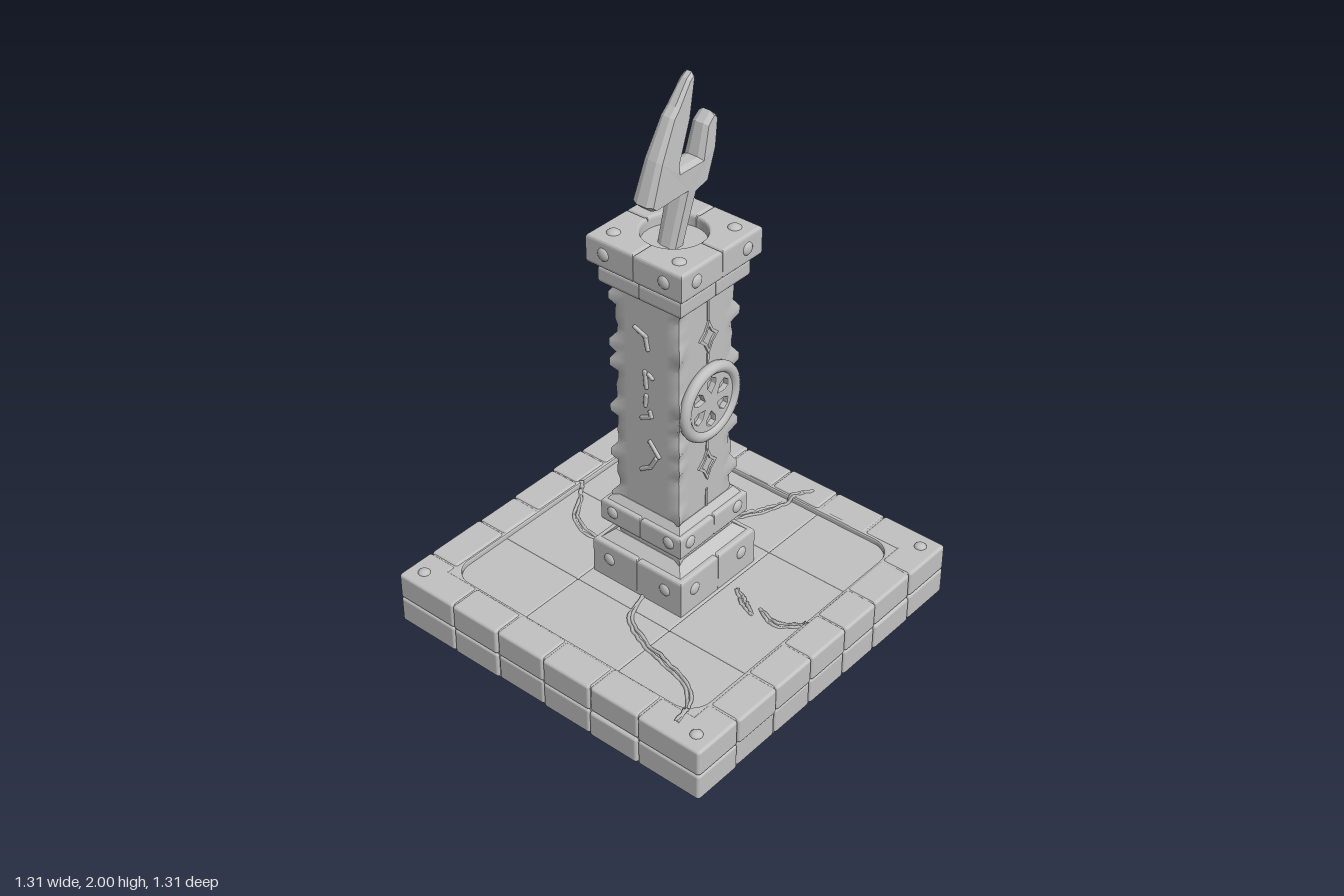
import * as THREE from 'three';
import { RoundedBoxGeometry } from 'three/addons/geometries/RoundedBoxGeometry.js';

export function createModel() {
  const group = new THREE.Group();
  const stone = new THREE.MeshStandardMaterial({ color: 0xc2c2c2 });
  stone.name = 'stone';

  let seed = 7;
  const rand = () => (seed = (seed * 16807) % 2147483647) / 2147483647;
  const jitter = (a) => (rand() - 0.5) * 2 * a;

  function add(name, geo, x = 0, y = 0, z = 0, parent = group) {
    const m = new THREE.Mesh(geo, stone);
    m.name = name;
    m.position.set(x, y, z);
    parent.add(m);
    return m;
  }
  // a sub-group turned by quarter turns about the vertical axis
  function side(name, k) {
    const g = new THREE.Group();
    g.name = name;
    g.rotation.y = k * Math.PI / 2;
    group.add(g);
    return g;
  }
  const box = (w, h, d) => new THREE.BoxGeometry(w, h, d);
  const shapeOf = (pts) => new THREE.Shape(pts.map(p => new THREE.Vector2(p[0], p[1])));

  // ---- plinth: solid core, recessed floor, block rim ----
  add('plinthCore', box(1.28, 0.165, 1.28), 0, 0.0825, 0);

  const frame = shapeOf([[-0.64, -0.64], [0.64, -0.64], [0.64, 0.64], [-0.64, 0.64]]);
  const hole = new THREE.Path(), H = 0.525, R = 0.08;
  [[1, 1, 0], [-1, 1, 1], [-1, -1, 2], [1, -1, 3]].forEach(([sx, sy, q]) =>
    hole.absarc(sx * (H - R), sy * (H - R), R, q * Math.PI / 2, (q + 1) * Math.PI / 2, false));
  frame.holes.push(hole);
  const rimGeo = new THREE.ExtrudeGeometry(frame, {
    depth: 0.03, bevelEnabled: true, bevelSize: 0.008, bevelThickness: 0.006, bevelOffset: -0.008, bevelSegments: 2, curveSegments: 8
  }).rotateX(-Math.PI / 2);
  add('rimFrame', rimGeo, 0, 0.16, 0);

  // rim blocks in two courses on each side
  const seams = [
    [-0.46, -0.27, -0.09, 0.09, 0.255, 0.45],
    [-0.4, -0.2, 0, 0.2, 0.4],
    [-0.25, -0.1, 0.1, 0.27, 0.5],
    [-0.4, -0.2, 0, 0.2, 0.4]
  ];
  seams.forEach((cuts, k) => {
    const g = side('rimSide', k);
    const c = [-0.65, ...cuts, 0.65];
    for (let i = 0; i < c.length - 1; i++) {
      const w = c[i + 1] - c[i], mid = (c[i] + c[i + 1]) / 2;
      const end = i === 0 || i === c.length - 2;
      for (const y of [0.05, 0.15]) {
        const out = end ? 0 : jitter(0.004);
        add('rimBlock', new RoundedBoxGeometry(w - 0.002, 0.1, 0.118, 2, 0.011), mid, y + (end || y < 0.1 ? 0 : jitter(0.002)), 0.591 + out, g);
      }
    }
    const s = add('cornerStud', new THREE.SphereGeometry(0.022, 12, 8), -0.59, 0.199, 0.59, g);
    s.scale.y = 0.6;
  });

  // floor slabs: [x0, x1, z0, z1]
  [
    [-0.54, -0.26, -0.54, -0.2], [-0.26, 0.1, -0.54, -0.2], [0.1, 0.54, -0.54, -0.2],
    [-0.54, -0.26, -0.2, 0.2], [-0.26, 0.26, -0.2, 0.2], [0.26, 0.54, -0.2, 0.2],
    [-0.54, -0.26, 0.2, 0.54], [-0.26, 0.26, 0.2, 0.54], [0.26, 0.54, 0.2, 0.54]
  ].forEach(([x0, x1, z0, z1]) =>
    add('floorSlab', new RoundedBoxGeometry(x1 - x0, 0.03, z1 - z0, 2, 0.006), (x0 + x1) / 2, 0.161 + jitter(0.001), (z0 + z1) / 2));

  // cracks: pairs of ragged raised lips running over floor and rim
  [
    [[-0.17, 0.02], [-0.3, 0.07], [-0.36, 0.18], [-0.39, 0.3], [-0.43, 0.42], [-0.52, 0.49], [-0.59, 0.51]],
    [[0.17, 0], [0.26, -0.035], [0.34, 0], [0.42, 0.045], [0.52, 0.085], [0.6, 0.13]],
    [[-0.05, -0.18], [-0.06, -0.35], [-0.02, -0.43], [0.06, -0.48], [0.12, -0.53]],
    [[0.04, 0.24], [0, 0.3], [-0.03, 0.36]],
    [[0.01, 0.36], [-0.015, 0.44], [0.04, 0.53]]
  ].forEach(path => {
    for (const s of [-1, 1]) {
      const base = new THREE.CatmullRomCurve3(path.map(p => new THREE.Vector3(p[0], 0, p[1])));
      const n = path.length * 5;
      const pts = base.getSpacedPoints(n).map((p, i) => {
        const t = base.getTangentAt(i / n);
        const onRim = Math.max(Math.abs(p.x), Math.abs(p.z)) > 0.525;
        const off = s * 0.008 * Math.sin(Math.PI * (i + 0.5) / (n + 1)) + jitter(0.003);
        return new THREE.Vector3(p.x - t.z * off, (onRim ? 0.2 : 0.176) + jitter(0.004), p.z + t.x * off);
      });
      add('crackLip', new THREE.TubeGeometry(new THREE.CatmullRomCurve3(pts), n * 2, 0.0065, 5));
    }
  });

  // ---- column shaft with chipped edges ----
  const shaftGeo = new THREE.BoxGeometry(0.27, 1.2, 0.27, 10, 48, 10);
  const pos = shaftGeo.attributes.position;
  for (let i = 0; i < pos.count; i++) {
    const x = pos.getX(i), y = pos.getY(i), z = pos.getZ(i);
    if (Math.abs(x) < 0.134 || Math.abs(z) < 0.134) continue;
    const a = Math.sin(y * 31 + Math.sign(x) * 2 + Math.sign(z) * 5) + Math.sin(y * 73 + Math.sign(x) * 4 - Math.sign(z));
    const k = a > 0.5 ? 1.07 : 0.96 + 0.02 * a;
    pos.setXYZ(i, x * k, y, z * k);
  }
  shaftGeo.computeVertexNormals();
  add('shaft', shaftGeo, 0, 0.78, 0);

  // ---- banded collars, each of four quarter blocks; r cuts a round well ----
  function band(name, y0, y1, a, bevel, r = 0) {
    const e = 0.001, s = new THREE.Shape();
    s.moveTo(Math.max(r, e), e);
    s.lineTo(a, e);
    s.lineTo(a, a);
    s.lineTo(e, a);
    if (r) {
      s.lineTo(e, r);
      s.absarc(0, 0, r, Math.PI / 2 - 0.02, 0.02, true);
    }
    const b = Math.min(bevel, 0.008);
    const geo = new THREE.ExtrudeGeometry(s, {
      depth: y1 - y0 - 2 * bevel, bevelEnabled: true, bevelSize: b, bevelThickness: bevel, bevelOffset: -b, bevelSegments: 3, curveSegments: 12
    }).rotateX(-Math.PI / 2);
    for (let k = 0; k < 4; k++) add(name, geo, 0, y0 + bevel, 0, side(name + 'Quarter', k));
  }
  // square frustum given by its half widths
  function taper(name, y0, y1, a0, a1) {
    const geo = new THREE.CylinderGeometry(a1 * Math.SQRT2, a0 * Math.SQRT2, y1 - y0, 4, 1).rotateY(Math.PI / 4).toNonIndexed();
    geo.computeVertexNormals();
    add(name, geo, 0, (y0 + y1) / 2, 0);
  }
  band('footBand', 0.16, 0.315, 0.19, 0.012);
  taper('footSlope', 0.305, 0.345, 0.182, 0.137);
  taper('waistUnder', 0.37, 0.4, 0.137, 0.162);
  band('waistBand', 0.39, 0.475, 0.17, 0.012);
  taper('waistSlope', 0.465, 0.5, 0.162, 0.137);
  taper('collarUnder', 1.3, 1.325, 0.14, 0.16);
  band('collarBand', 1.315, 1.375, 0.165, 0.012);
  taper('capUnder', 1.365, 1.4, 0.155, 0.182);
  band('capBand', 1.39, 1.49, 0.19, 0.012, 0.105);
  add('capWellFloor', new THREE.CylinderGeometry(0.112, 0.112, 0.06, 32), 0, 1.42, 0);

  // studs on every collar face and on the cap top
  const studGeo = new THREE.SphereGeometry(0.023, 14, 10);
  for (let k = 0; k < 4; k++) {
    const g = side('studs', k);
    for (const [y, z] of [[0.255, 0.188], [0.44, 0.168], [1.442, 0.188]])
      for (const x of [-0.12, 0.12]) add('stud', studGeo, x, y, z, g).scale.z = 0.5;
    add('topStud', studGeo, 0.13, 1.488, 0.13, g).scale.y = 0.55;
  }

  // ---- carved marks: four-point stars and seams on front and back ----
  const star = (w, h, pinch) => [[0, h], [w * pinch, h * pinch], [w, 0], [w * pinch, -h * pinch], [0, -h], [-w * pinch, -h * pinch], [-w, 0], [-w * pinch, h * pinch]];
  const starShape = shapeOf(star(0.045, 0.062, 0.4));
  starShape.holes.push(new THREE.Path(star(0.03, 0.042, 0.4).map(p => new THREE.Vector2(p[0], p[1])).reverse()));
  const starGeo = new THREE.ExtrudeGeometry(starShape, { depth: 0.008, bevelEnabled: false });
  for (const k of [0, 2]) {
    const g = side('starFace', k);
    for (const y of [0.67, 1.16]) add('starMark', starGeo, 0, y, 0.134, g);
    const lines = [[0.5, 0.57], [0.72, 0.78], [1.06, 1.1], [1.22, 1.3]];
    if (k === 2) lines.push([0.84, 0.9], [0.92, 1.0]);
    for (const [a, b] of lines) add('seamRidge', box(0.008, b - a, 0.008), 0, (a + b) / 2, 0.135, g);
  }

  // worn runes on both flanks: [offset, y, length, tilt]
  for (const k of [1, 3]) {
    const g = side('runeFace', k);
    for (const [x, y, l, tilt] of [
      [-0.02, 1.18, 0.06, 1.2], [0.005, 1.15, 0.06, 0.2], [0, 1.01, 0.07, 0.1], [0.02, 1.03, 0.03, 1],
      [0, 0.93, 0.05, -0.1], [0, 0.865, 0.05, -1.1], [0.02, 0.885, 0.03, 0.3],
      [0.035, 0.755, 0.07, 0.7], [0.03, 0.7, 0.06, -0.5], [0, 0.665, 0.06, -1]
    ]) add('runeStroke', new RoundedBoxGeometry(0.014, l, 0.018, 1, 0.005), x, y, 0.135, g).rotation.z = tilt;
  }

  // ---- front medallion with six petal openings ----
  const disc = new THREE.Shape().absarc(0, 0, 0.125, 0, Math.PI * 2, false);
  for (let i = 0; i < 6; i++) {
    const a = Math.PI / 2 + i * Math.PI / 3;
    const p = [[0.033, 0], [0.06, 0.021], [0.083, 0.022], [0.094, 0], [0.083, -0.022], [0.06, -0.021]];
    disc.holes.push(new THREE.Path(p.map(([u, v]) =>
      new THREE.Vector2(u * Math.cos(a) - v * Math.sin(a), u * Math.sin(a) + v * Math.cos(a)))));
  }
  add('medallionFace', new THREE.ExtrudeGeometry(disc, {
    depth: 0.02, bevelEnabled: true, bevelSize: 0.004, bevelThickness: 0.004, bevelOffset: -0.002, bevelSegments: 2, curveSegments: 32
  }), 0, 0.92, 0.13);
  add('medallionRim', new THREE.TorusGeometry(0.121, 0.02, 10, 48), 0, 0.92, 0.147);

  // ---- forked blade standing in the cap well, thinner toward the tips ----
  const blade = shapeOf([
    [-0.05, 1.43], [0, 1.43], [0.06, 1.61], [0.115, 1.625], [0.155, 1.725], [0.172, 1.82], [0.15, 1.84],
    [0.115, 1.81], [0.087, 1.71], [-0.01, 1.71], [-0.01, 1.735], [0.045, 1.86], [0.077, 1.985], [0.068, 2.0],
    [0.045, 1.985], [-0.01, 1.915], [-0.035, 1.89], [-0.1, 1.77], [-0.15, 1.64], [-0.13, 1.62], [0.01, 1.625]
  ]);
  const bladeGeo = new THREE.ExtrudeGeometry(blade, {
    depth: 0.036, bevelEnabled: true, bevelSize: 0.008, bevelThickness: 0.02, bevelOffset: -0.008, bevelSegments: 1
  }).translate(0, 0, -0.018);
  const bp = bladeGeo.attributes.position;
  for (let i = 0; i < bp.count; i++) {
    const y = bp.getY(i);
    bp.setZ(i, bp.getZ(i) * (y < 1.6 ? 0.92 : 1.05 - 0.55 * Math.max(0, y - 1.68) / 0.32));
  }
  bladeGeo.computeVertexNormals();
  add('forkedBlade', bladeGeo);

  return group;
}
